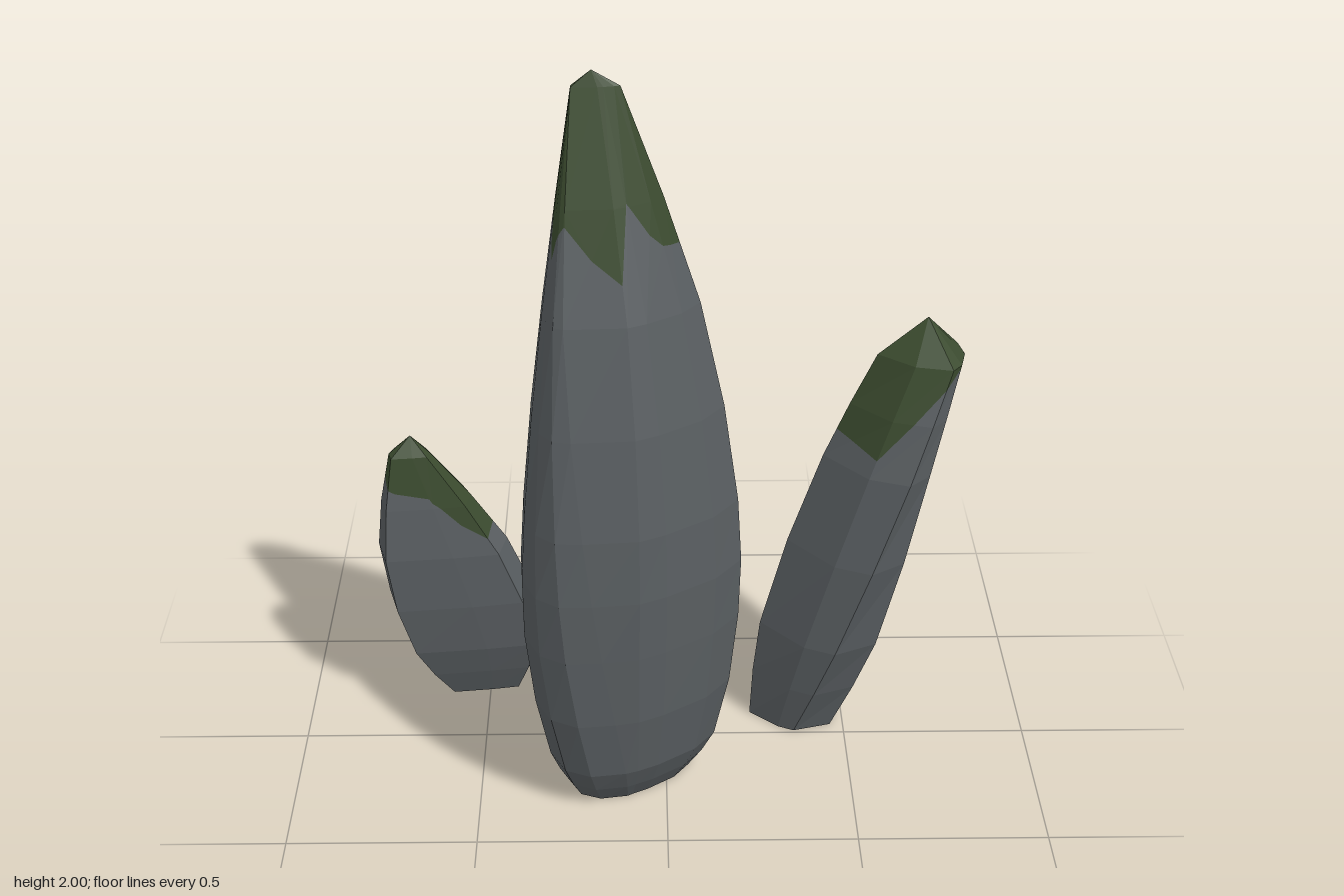
import * as THREE from 'three';

const stone = new THREE.MeshStandardMaterial({ color: 0x5a5f62 });
stone.name = 'slate grey';
const moss = new THREE.MeshStandardMaterial({ color: 0x3b4b2f });
moss.name = 'moss green';

// Cuts a triangle where it crosses the moss line (h = height above the line).
function splitTriangle(corners, above, below) {
  for (const [out, sign] of [[above, 1], [below, -1]]) {
    const poly = [];
    corners.forEach((a, i) => {
      const b = corners[(i + 1) % 3];
      const ha = a.h * sign, hb = b.h * sign;
      if (ha >= 0) poly.push(a.p);
      if (ha * hb < 0) poly.push(a.p.clone().lerp(b.p, ha / (ha - hb)));
    });
    for (let i = 1; i + 1 < poly.length; i++) out.push(poly[0], poly[i], poly[i + 1]);
  }
}

// Unshared corners keep every facet flat.
function facetMesh(points, material, name) {
  const geometry = new THREE.BufferGeometry().setFromPoints(points);
  geometry.computeVertexNormals();
  const mesh = new THREE.Mesh(geometry, material);
  mesh.name = name;
  return mesh;
}

// outline: [mossHeight, u, v, uTop, vTop] corners, clockwise from above, fitted
// into the box of each section [y, xMin, xMax, zMin, zMax]. A corner may drift
// from (u, v) to (uTop, vTop) on its way up. A curve runs through each corner.
function buildRock(name, outline, sections, apex) {
  const lerp = THREE.MathUtils.lerp;
  const steps = (sections.length - 1) * 2;
  const topY = sections[sections.length - 1][0];
  const columns = outline.map(([line, u, v, uTop = u, vTop = v]) => {
    const path = sections.map(([y, x0, x1, z0, z1]) => new THREE.Vector3(
      lerp(x0, x1, lerp(u, uTop, y / topY)), y, lerp(z0, z1, lerp(v, vTop, y / topY)),
    ));
    return new THREE.CatmullRomCurve3(path).getPoints(steps).map((p) => ({ p, h: p.y - line }));
  });
  const [y, x0, x1, z0, z1] = sections[0];
  const base = { p: new THREE.Vector3((x0 + x1) / 2, y, (z0 + z1) / 2), h: -1 };
  const tip = { p: new THREE.Vector3(...apex), h: 0.3 };
  const green = [], grey = [];

  columns.forEach((a, j) => {
    const b = columns[(j + 1) % columns.length];
    splitTriangle([base, a[0], b[0]], green, grey);
    for (let i = 0; i < steps; i++) {
      splitTriangle([b[i], a[i], a[i + 1]], green, grey);
      splitTriangle([b[i], a[i + 1], b[i + 1]], green, grey);
    }
    splitTriangle([b[steps], a[steps], tip], green, grey);
  });

  const group = new THREE.Group();
  group.name = name;
  group.add(facetMesh(grey, stone, 'stoneBody'), facetMesh(green, moss, 'mossCap'));
  return group;
}

export function createModel() {
  const model = new THREE.Group();
  model.name = 'standingRocks';

  // Tall rock, narrowing to a short ridge
  model.add(buildRock(
    'tallRock',
    [
      [1.6, 0, 0.42], [1.62, 0.2, 0.08], [1.52, 0.33, 0], [1.42, 0.7, 0.04],
      [1.42, 0.94, 0.27], [1.56, 1, 0.49], [1.57, 0.88, 0.68], [1.69, 0.66, 0.86], [1.5, 0.54, 0.93],
      [1.64, 0.5, 0.96, 0, 0.95], [1.62, 0.28, 1, 0, 0.88], [1.55, 0.12, 0.93, 0, 0.75], [1.64, 0.02, 0.72, 0, 0.58],
    ],
    [
      [0, -0.27, 0.06, 0, 0.31],
      [0.12, -0.32, 0.13, -0.03, 0.385],
      [0.5, -0.38, 0.19, -0.06, 0.445],
      [0.85, -0.37, 0.185, -0.05, 0.45],
      [1.4, -0.31, 0.085, 0.005, 0.36],
      [1.96, -0.23, -0.11, 0.152, 0.18],
    ],
    [-0.18, 2, 0.165],
  ));

  // Rock leaning outwards, mossy on its upper slope
  model.add(buildRock(
    'leaningRock',
    [
      [0.91, 0, 0.5], [0.85, 0.3, 0.06], [0.85, 0.6, 0], [0.9, 0.88, 0.03],
      [1.11, 0.95, 0.16], [1.12, 1, 0.5], [1.12, 0.93, 0.84], [1.08, 0.5, 1, 0.82, 1], [0.88, 0.32, 0.89, 0.4, 0.89],
    ],
    [
      [0, 0.24, 0.48, -0.2, -0.01],
      [0.3, 0.265, 0.6, -0.28, 0.075],
      [0.83, 0.425, 0.72, -0.275, 0.095],
      [1.13, 0.56, 0.79, -0.19, 0.02],
    ],
    [0.69, 1.235, -0.09],
  ));

  // Small rock leaning the other way, flat at the front
  model.add(buildRock(
    'smallRock',
    [
      [0.73, 0, 0.6], [0.77, 0.1, 0.24], [0.62, 0.36, 0.02], [0.69, 0.68, 0], [0.66, 0.89, 0.2],
      [0.56, 1, 0.5], [0.55, 0.95, 0.86], [0.68, 0.6, 0.93], [0.71, 0.08, 1],
    ],
    [
      [0, -0.62, -0.41, -0.41, -0.22],
      [0.18, -0.73, -0.35, -0.45, -0.14],
      [0.5, -0.795, -0.44, -0.375, -0.1],
      [0.8, -0.75, -0.64, -0.22, -0.135],
    ],
    [-0.69, 0.855, -0.17],
  ));

  return model;
}
